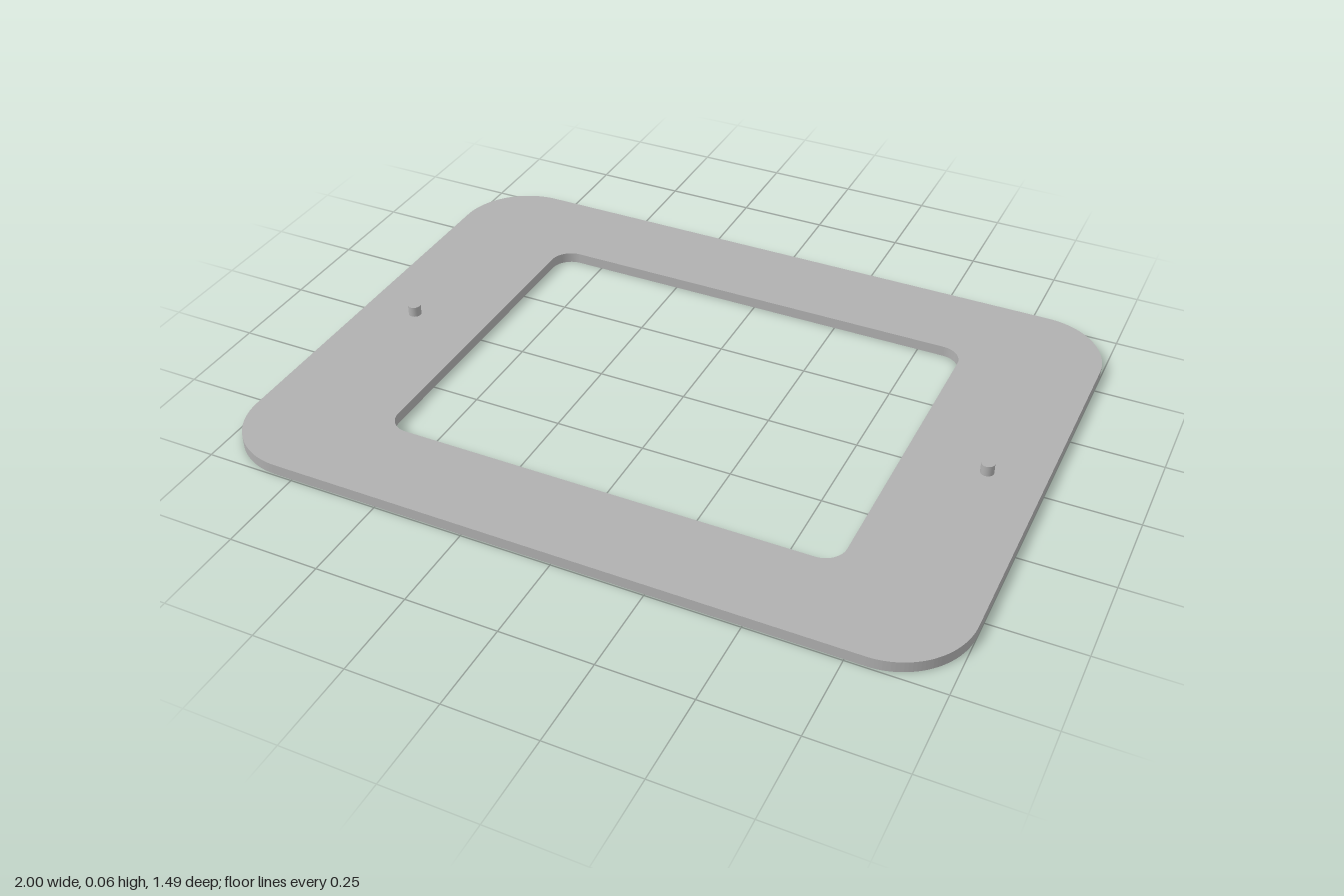
import * as THREE from 'three';

const THICKNESS = 0.03;

// Traces a centred rounded rectangle onto a Shape or Path
function roundedRect(path, halfW, halfH, r) {
  path.moveTo(halfW, -halfH + r);
  path.lineTo(halfW, halfH - r);
  path.absarc(halfW - r, halfH - r, r, 0, Math.PI / 2);
  path.lineTo(-halfW + r, halfH);
  path.absarc(-halfW + r, halfH - r, r, Math.PI / 2, Math.PI);
  path.lineTo(-halfW, -halfH + r);
  path.absarc(-halfW + r, -halfH + r, r, Math.PI, Math.PI * 1.5);
  path.lineTo(halfW - r, -halfH);
  path.absarc(halfW - r, -halfH + r, r, Math.PI * 1.5, Math.PI * 2);
  return path;
}

export function createModel() {
  const model = new THREE.Group();
  const grey = new THREE.MeshStandardMaterial({ color: 0xb0b0b0 });
  grey.name = 'plainGrey';

  // Flat frame with a rounded rectangular opening
  const outline = roundedRect(new THREE.Shape(), 1, 0.746, 0.2);
  outline.holes.push(roundedRect(new THREE.Path(), 0.634, 0.484, 0.06));
  const frameGeometry = new THREE.ExtrudeGeometry(outline, {
    depth: THICKNESS, bevelEnabled: false, curveSegments: 16,
  });
  frameGeometry.rotateX(-Math.PI / 2);
  const frame = new THREE.Mesh(frameGeometry, grey);
  frame.name = 'framePlate';
  model.add(frame);

  // Locating pegs, one on each side rail
  const pegGeometry = new THREE.CylinderGeometry(0.018, 0.018, 0.03, 32);
  for (const side of [-1, 1]) {
    const peg = new THREE.Mesh(pegGeometry, grey);
    peg.name = side > 0 ? 'leftPeg' : 'rightPeg';
    peg.position.set(side * 0.85, THICKNESS + 0.015, 0);
    model.add(peg);
  }

  return model;
}
